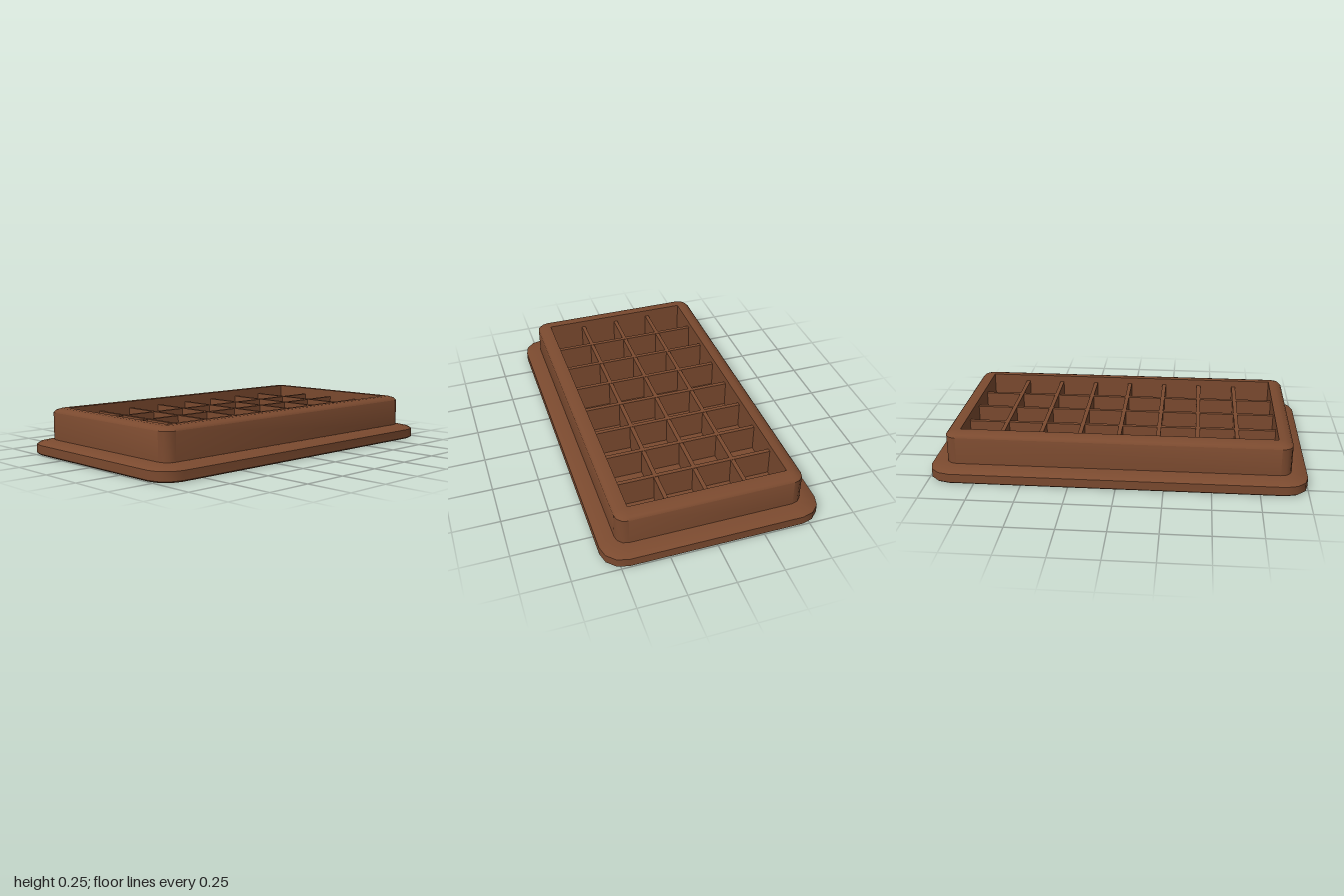
import * as THREE from 'three';
import { toCreasedNormals } from 'three/addons/utils/BufferGeometryUtils.js';

const SEG = 3; // sides per rounded corner

// Rounded rectangle outline with half sizes hx, hz and corner radius r at height y
function ring([hx, hz, r, y]) {
  const points = [];
  const corners = [[1, 1], [-1, 1], [-1, -1], [1, -1]];
  corners.forEach(([sx, sz], c) => {
    for (let i = 0; i <= SEG; i++) {
      const a = (c + i / SEG) * Math.PI / 2;
      points.push([sx * (hx - r) + r * Math.cos(a), y, sz * (hz - r) + r * Math.sin(a)]);
    }
  });
  return points;
}

// Skin a stack of rounded rectangles
function loft(profile, crease) {
  const rings = profile.map(ring);
  const n = rings[0].length;
  const index = [];
  for (let k = 0; k < rings.length - 1; k++) {
    for (let j = 0; j < n; j++) {
      const a = k * n + j, b = k * n + (j + 1) % n;
      index.push(a, a + n, b + n, a, b + n, b);
    }
  }
  const geometry = new THREE.BufferGeometry();
  geometry.setAttribute('position', new THREE.Float32BufferAttribute(rings.flat(2), 3));
  geometry.setIndex(index);
  return toCreasedNormals(geometry, crease);
}

export function createModel() {
  const model = new THREE.Group();
  model.name = 'compartmentTray';
  const brown = new THREE.MeshStandardMaterial({ color: 0x7b4a2f });
  brown.name = 'brown';

  const add = (name, geometry, x = 0, y = 0, z = 0) => {
    const mesh = new THREE.Mesh(geometry, brown);
    mesh.name = name;
    mesh.position.set(x, y, z);
    model.add(mesh);
  };

  // Wide foot with a softly bevelled upper edge
  add('baseFlange', loft([
    [0, 0, 0, 0],
    [0.99, 0.57, 0.11, 0],
    [1, 0.58, 0.12, 0.008],
    [1, 0.58, 0.12, 0.055],
    [0.985, 0.565, 0.11, 0.065],
    [0.93, 0.51, 0.08, 0.078],
    [0.88, 0.46, 0.05, 0.078],
  ], 0.7));

  // Outer wall, bevelled rim, square-cornered cavity and its floor
  const floorY = 0.065, dividerTop = 0.21;
  add('trayWall', loft([
    [0.915, 0.495, 0.06, 0.07],
    [0.915, 0.495, 0.06, 0.225],
    [0.905, 0.485, 0.055, 0.237],
    [0.875, 0.455, 0.03, 0.247],
    [0.84, 0.42, 0, 0.247],
    [0.84, 0.42, 0, floorY],
    [0, 0, 0, floorY],
  ], 0.7));

  // Lattice of thin dividers: 8 by 4 compartments
  const height = dividerTop - floorY, middle = (dividerTop + floorY) / 2;
  const thickness = 0.022, pitch = 0.21;
  for (let i = -3; i <= 3; i++) {
    add('crossDivider', new THREE.BoxGeometry(thickness, height, 0.85), i * pitch, middle, 0);
  }
  for (let i = -1; i <= 1; i++) {
    add('longDivider', new THREE.BoxGeometry(1.69, height - 0.002, thickness), 0, middle - 0.001, i * pitch);
  }
  return model;
}
